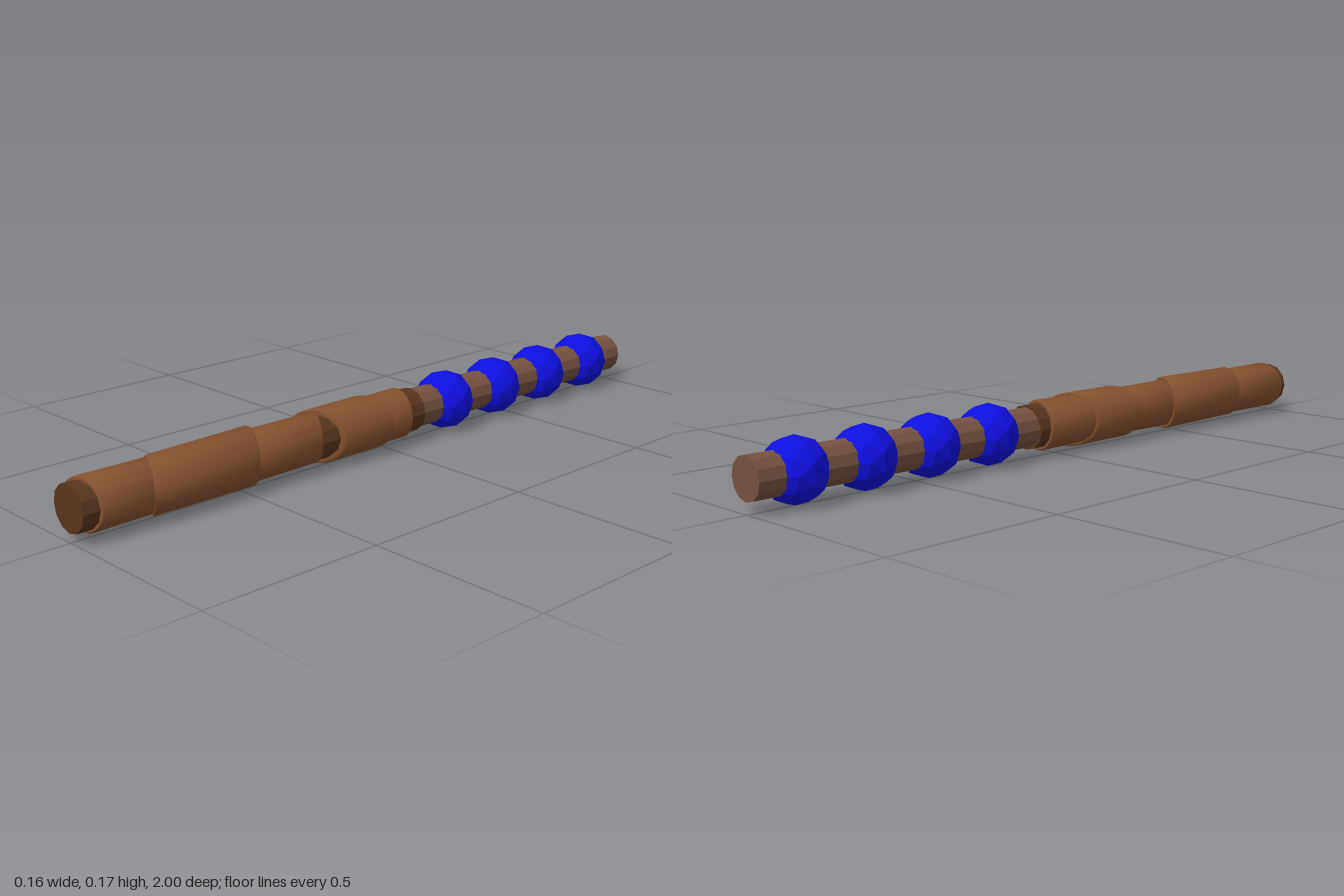
import * as THREE from 'three';
import { toCreasedNormals } from 'three/addons/utils/BufferGeometryUtils.js';

const AXIS_Y = 0.085;

export function createModel() {
  const group = new THREE.Group();
  const mat = (name, color, flatShading = false) =>
    new THREE.MeshStandardMaterial({ name, color, flatShading });
  const rodWood = mat('rodWood', 0x745241, true);
  const gripCore = mat('gripCore', 0x58361f, true);
  const leather = mat('leather', 0x84512f);
  const beadBlue = mat('beadBlue', 0x0f0fe0, true);

  const add = (name, geometry, material, z = 0) => {
    const mesh = new THREE.Mesh(geometry, material);
    mesh.name = name;
    mesh.position.set(0, AXIS_Y, z);
    group.add(mesh);
  };

  // Faceted rods running along z
  const rod = (name, r, z0, z1, material) =>
    add(name, new THREE.CylinderGeometry(r, r, z1 - z0, 12).rotateX(Math.PI / 2), material, (z0 + z1) / 2);
  rod('rod', 0.056, -1, -0.09, rodWood);
  rod('gripCore', 0.062, -0.11, 1, gripCore);

  // Beads threaded on the rod, poles along the rod
  const bead = new THREE.IcosahedronGeometry(0.085, 1)
    .rotateX(Math.atan(2 / (1 + Math.sqrt(5))))
    .rotateZ(Math.PI / 2);
  [-0.25, -0.455, -0.66, -0.865].forEach((z, i) => add('bead' + (i + 1), bead, beadBlue, z));

  // Leather sleeve with slanted ends: each end lies on z = z + slope * x
  const sleeve = (name, a, b) => {
    const inner = 0.056;
    const profile = [[inner, 0], [a.r - 0.003, 0], [a.r, 0.02], [b.r, 0.98], [b.r - 0.003, 1], [inner, 1]]
      .map(([r, t]) => new THREE.Vector2(r, t));
    const geo = new THREE.LatheGeometry(profile, 32).rotateX(Math.PI / 2);
    const p = geo.attributes.position;
    for (let i = 0; i < p.count; i++) {
      const x = p.getX(i), t = p.getZ(i);
      const za = a.z + a.slope * x, zb = b.z + b.slope * x;
      p.setX(i, x + THREE.MathUtils.lerp(a.dx ?? 0, b.dx ?? 0, t));
      p.setZ(i, THREE.MathUtils.lerp(za, zb, t));
    }
    add(name, toCreasedNormals(geo, 0.7), leather);
  };
  sleeve('sleeve1', { z: -0.065, slope: 0.15, r: 0.07 }, { z: 0.1, slope: -0.5, r: 0.068 });
  sleeve('sleeve2', { z: 0.06, slope: -0.55, r: 0.076 }, { z: 0.245, slope: -0.6, r: 0.075 });
  sleeve('sleeve3', { z: 0.24, slope: 0.5, r: 0.066 }, { z: 0.5, slope: 0.4, r: 0.068 });
  sleeve('sleeve4', { z: 0.46, slope: 0.4, r: 0.077, dx: -0.002 }, { z: 0.78, slope: 0.4, r: 0.074, dx: 0.002 });
  sleeve('sleeve5', { z: 0.72, slope: 0.4, r: 0.068 }, { z: 0.965, slope: -0.2, r: 0.07 });

  return group;
}
